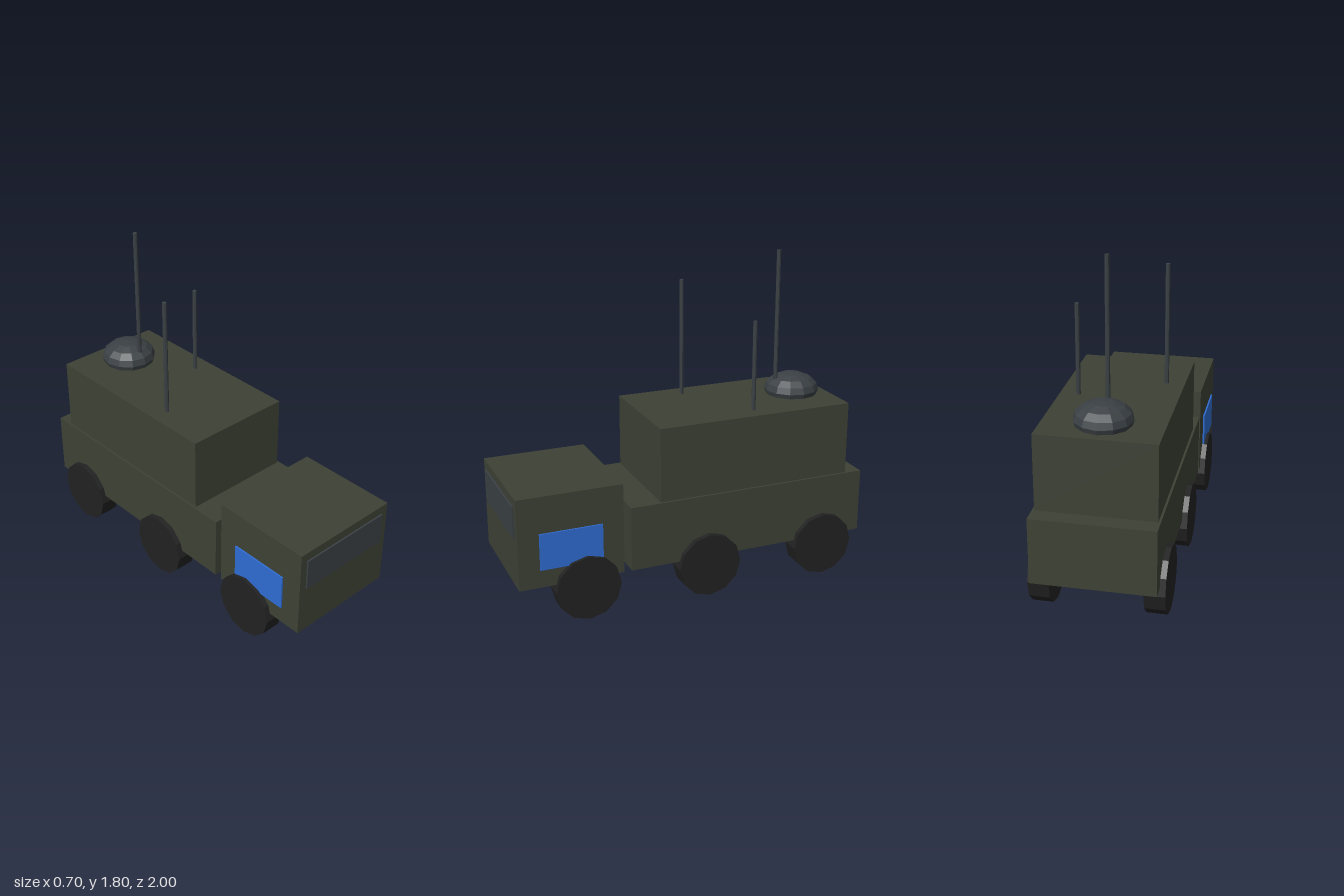
import * as THREE from 'three';

export function createModel() {
  const model = new THREE.Group();
  model.name = 'armouredTruck';

  const material = (name, color) => {
    const m = new THREE.MeshStandardMaterial({ color, flatShading: true });
    m.name = name;
    return m;
  };
  const olive = material('olive paint', 0x3d4235);
  const steel = material('dark steel', 0x3a4044);
  const rubber = material('black rubber', 0x222222);
  const blue = material('blue panel', 0x2f6dd3);

  const add = (name, geometry, mat, x, y, z) => {
    const mesh = new THREE.Mesh(geometry, mat);
    mesh.name = name;
    mesh.position.set(x, y, z);
    model.add(mesh);
    return mesh;
  };
  // Box given by its lower and upper corners
  const block = (name, mat, [x0, y0, z0], [x1, y1, z1]) =>
    add(name, new THREE.BoxGeometry(x1 - x0, y1 - y0, z1 - z0), mat,
      (x0 + x1) / 2, (y0 + y1) / 2, (z0 + z1) / 2);

  // Body: separate cab, rear hull and equipment shelter
  block('cab', olive, [-0.32, 0.22, 0.42], [0.32, 0.72, 0.99]);
  block('rearHull', olive, [-0.32, 0.22, -1], [0.32, 0.577, 0.378]);
  block('shelter', olive, [-0.308, 0.577, -0.908], [0.308, 0.984, 0.207]);
  block('windshield', steel, [-0.278, 0.495, 0.99], [0.278, 0.672, 0.999]);

  // Door panels and three wheels on each side
  const wheelGeometry = new THREE.CylinderGeometry(0.178, 0.178, 0.11, 12).rotateZ(Math.PI / 2);
  for (const [side, s] of [['left', 1], ['right', -1]]) {
    add(side + 'DoorPanel', new THREE.BoxGeometry(0.009, 0.2, 0.34), blue, s * 0.3265, 0.42, 0.707);
    [['Front', 0.625], ['Middle', -0.065], ['Rear', -0.757]].forEach(([place, z]) =>
      add(side + place + 'Wheel', wheelGeometry, rubber, s * 0.295, 0.18, z));
  }

  // Flattened radar dome sunk slightly into the roof
  const dome = new THREE.SphereGeometry(0.153, 12, 8).scale(1, 0.6, 1);
  add('radarDome', dome, steel, 0, 1.01, -0.715);

  // Whip antennas: x, z, top height
  const roof = 0.984;
  [[-0.21, -0.13, 1.635], [0.21, -0.373, 1.475], [0, -0.613, 1.8]].forEach(([x, z, top], i) =>
    add('antenna' + (i + 1), new THREE.CylinderGeometry(0.012, 0.012, top - roof, 8), steel,
      x, (top + roof) / 2, z));

  return model;
}
